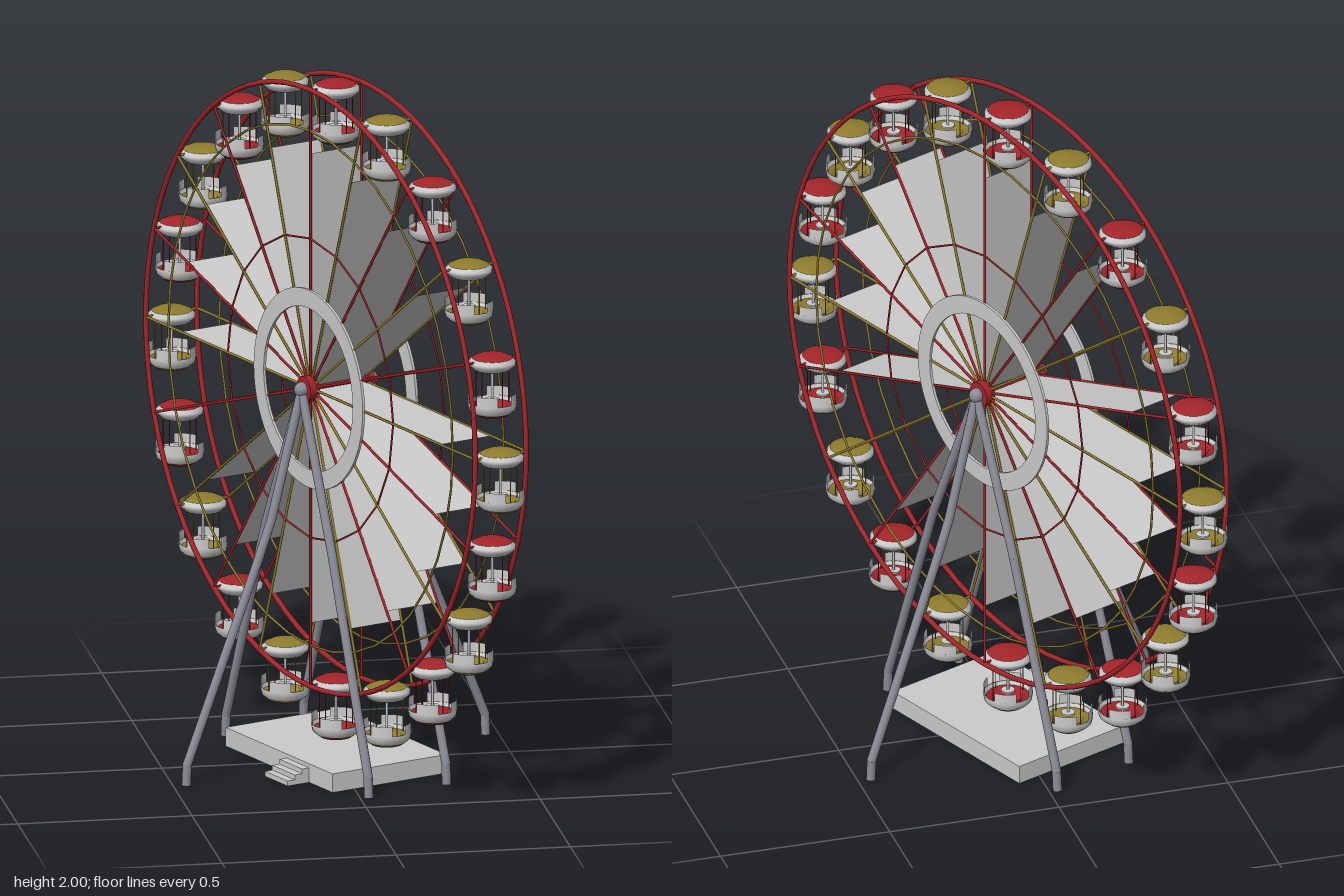
import * as THREE from 'three';

const mat = (color) => new THREE.MeshStandardMaterial({ color, side: THREE.DoubleSide });
const grey = mat(0xcccccc), red = mat(0xa3252a), olive = mat(0x8f7c2e), steel = mat(0x8c8c98);
const V = (x, y, z) => new THREE.Vector3(x, y, z);

const HUB_Y = 1.105, RIM = 0.875, HALF = 0.085, COUNT = 20;

function add(parent, name, geometry, material, x = 0, y = 0, z = 0) {
  const m = new THREE.Mesh(geometry, material);
  m.name = name;
  m.position.set(x, y, z);
  parent.add(m);
  return m;
}

// Straight round bar between two points
function bar(parent, name, a, b, r, material, sides = 6) {
  const d = b.clone().sub(a);
  const m = add(parent, name, new THREE.CylinderGeometry(r, r, d.length(), sides), material);
  m.position.copy(a).add(b).multiplyScalar(0.5);
  m.quaternion.setFromUnitVectors(V(0, 1, 0), d.normalize());
  return m;
}

const lathe = (pts) => new THREE.LatheGeometry(pts.map(([x, y]) => new THREE.Vector2(x, y)), 24);

// Point on the wheel at axle offset x, radius r, angle a
const onWheel = (x, r, a) => V(x, r * Math.sin(a), r * Math.cos(a));

// Hanging gondola, its pivot at the origin
function makeGondola(color) {
  const g = new THREE.Group();
  g.name = 'gondola';
  add(g, 'roofRim', lathe([[0, -0.026], [0.052, -0.026], [0.067, -0.012], [0.067, -0.002], [0.058, 0.008]]), grey);
  add(g, 'roofTop', lathe([[0.058, 0.008], [0.04, 0.016], [0, 0.02]]), color);
  add(g, 'basketBottom', lathe([[0, -0.162], [0.045, -0.16], [0.056, -0.152]]), color);
  add(g, 'basketWall', lathe([[0.056, -0.152], [0.067, -0.142], [0.071, -0.122], [0.066, -0.122], [0.06, -0.142]]), grey);
  add(g, 'seatRing', lathe([[0.062, -0.132], [0.042, -0.132], [0.042, -0.15], [0, -0.15]]), color);
  add(g, 'table', new THREE.CylinderGeometry(0.02, 0.02, 0.005, 12), grey, 0, -0.115, 0);
  bar(g, 'centrePole', V(0, -0.155, 0), V(0, -0.02, 0), 0.004, grey);
  for (let i = 0; i < 4; i++) {
    const a = i * Math.PI / 2;
    // Raised seat backs with door gaps between them
    add(g, 'seatBack', new THREE.CylinderGeometry(0.069, 0.069, 0.03, 6, 1, true, a + 0.3, 0.95), grey, 0, -0.109, 0);
    const x = 0.055 * Math.cos(a), z = 0.055 * Math.sin(a);
    bar(g, 'roofPost', V(x, -0.14, z), V(x, -0.02, z), 0.0018, color, 4);
  }
  return g;
}

function makeWheel() {
  const wheel = new THREE.Group();
  wheel.name = 'wheel';
  wheel.position.y = HUB_Y;

  const ringShape = new THREE.Shape().absarc(0, 0, 0.29, 0, Math.PI * 2);
  ringShape.holes.push(new THREE.Path().absarc(0, 0, 0.237, 0, Math.PI * 2, true));
  const discGeo = new THREE.ExtrudeGeometry(ringShape, { depth: 0.008, bevelEnabled: false, curveSegments: 48 });
  discGeo.translate(0, 0, -0.004).rotateY(Math.PI / 2);
  const torus = (r, t, sides, n) => new THREE.TorusGeometry(r, t, sides, n).rotateY(Math.PI / 2).rotateX(Math.PI / 2);

  for (const s of [-1, 1]) {
    const x = s * HALF;
    add(wheel, 'outerRim', torus(0.877, 0.0075, 8, 80), red, x);
    add(wheel, 'middleRim', torus(0.757, 0.0035, 5, COUNT * 2), olive, x);
    add(wheel, 'innerRim', torus(0.44, 0.003, 5, COUNT), red, x);
    add(wheel, 'hubRing', discGeo, grey, x + s * 0.004);
    add(wheel, 'hub', new THREE.CylinderGeometry(0.038, 0.038, 0.03, 16).rotateZ(Math.PI / 2), red, x + s * 0.008);
  }
  bar(wheel, 'axle', V(-0.125, 0, 0), V(0.125, 0, 0), 0.016, red, 12);

  for (let i = 0; i < COUNT; i++) {
    const a = Math.PI / 2 + i * Math.PI * 2 / COUNT;
    const color = i % 2 ? olive : red;
    for (const x of [-HALF, HALF]) {
      bar(wheel, 'spoke', onWheel(x, 0.02, a), onWheel(x, RIM, a), 0.0042, color, 5);
    }
    bar(wheel, 'crossBar', onWheel(-HALF, RIM, a), onWheel(HALF, RIM, a), 0.004, color, 5);

    // Flat radial panel spanning the two sides
    const panel = add(wheel, 'panel', new THREE.PlaneGeometry(HALF * 2, 0.67), grey);
    panel.position.copy(onWheel(0, 0.355, a));
    panel.rotation.x = Math.PI / 2 - a;

    const gondola = makeGondola(color);
    gondola.position.copy(onWheel(0, RIM, a));
    wheel.add(gondola);
  }
  return wheel;
}

// Bent leg with a short upright foot
function leg(parent, name, points) {
  const path = new THREE.CurvePath();
  for (let i = 1; i < points.length; i++) path.add(new THREE.LineCurve3(points[i - 1], points[i]));
  for (let i = 1; i < points.length; i++) {
    bar(parent, name, points[i - 1], points[i], 0.0135, steel, 10);
    if (i < points.length - 1) add(parent, name + 'Joint', new THREE.SphereGeometry(0.0135, 10, 8), steel, ...points[i].toArray());
  }
}

function makeSupports() {
  const g = new THREE.Group();
  g.name = 'supports';
  for (const s of [-1, 1]) {
    const top = V(s * 0.115, HUB_Y, 0);
    leg(g, 'outerLeg', [V(s * 0.5, 0, 0), V(s * 0.497, 0.06, 0), V(s * 0.262, 0.62, 0), V(s * 0.215, 0.74, 0), top]);
    for (const t of [-1, 1]) {
      leg(g, 'sideLeg', [V(s * 0.13, 0, t * 0.382), V(s * 0.13, 0.06, t * 0.378), V(s * 0.125, 0.66, t * 0.18), top]);
    }
    add(g, 'legCap', new THREE.SphereGeometry(0.022, 12, 8), steel, ...top.toArray());
  }
  return g;
}

function makePlatform() {
  const g = new THREE.Group();
  g.name = 'platform';
  // Hollow underneath: a deck with four walls
  add(g, 'deck', new THREE.BoxGeometry(0.38, 0.012, 0.57), grey, 0, 0.049, 0);
  for (const s of [-1, 1]) {
    add(g, 'longWall', new THREE.BoxGeometry(0.012, 0.045, 0.57), grey, s * 0.184, 0.0225, 0);
    add(g, 'shortWall', new THREE.BoxGeometry(0.356, 0.045, 0.012), grey, 0, 0.0225, s * 0.279);
  }
  for (let i = 0; i < 3; i++) {
    const h = 0.043 - i * 0.014;
    add(g, 'step', new THREE.BoxGeometry(0.024, h, 0.12), grey, -0.202 - i * 0.024, h / 2, 0.1);
  }
  return g;
}

export function createModel() {
  const model = new THREE.Group();
  model.name = 'ferrisWheel';
  const body = new THREE.Group();
  body.name = 'turnedBody';
  body.rotation.y = 0.389;
  body.add(makeWheel(), makeSupports(), makePlatform());
  model.add(body);
  return model;
}
